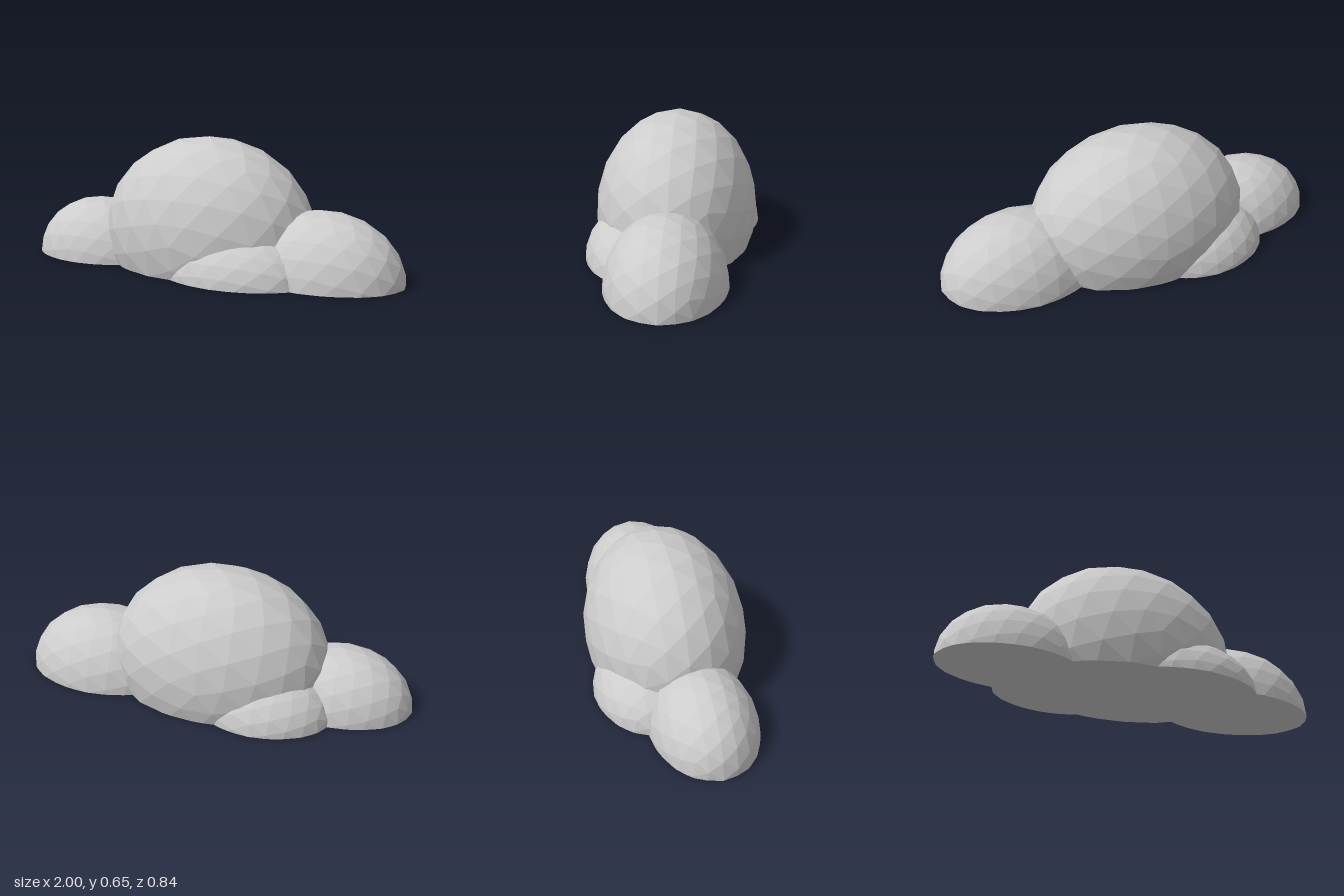
import * as THREE from 'three';

// Faceted ellipsoid cut flat at y = 0, with the cut closed by a fan
function puffGeometry([cx, cy, cz], [rx, ry, rz]) {
  const ball = new THREE.IcosahedronGeometry(1, 3);
  ball.rotateX(Math.atan(2 / (1 + Math.sqrt(5)))); // put a corner at the top
  ball.scale(rx, ry, rz).translate(cx, cy, cz);
  const pos = ball.attributes.position;
  const centre = new THREE.Vector3(cx, 0, cz);
  const out = [];
  const addTriangle = (...corners) => corners.forEach((p) => out.push(p.x, p.y, p.z));

  for (let i = 0; i < pos.count; i += 3) {
    const tri = [0, 1, 2].map((k) => new THREE.Vector3().fromBufferAttribute(pos, i + k));
    tri.forEach((p) => { if (Math.abs(p.y) < 1e-5) p.y = 0; });
    if (tri.every((p) => p.y <= 0)) continue;

    // Keep the part of the triangle above the ground
    const poly = [];
    tri.forEach((a, k) => {
      const b = tri[(k + 1) % 3];
      if (a.y >= 0) poly.push(a);
      if (a.y * b.y < 0) {
        const p = a.clone().lerp(b, a.y / (a.y - b.y));
        p.y = 0;
        poly.push(p);
      }
    });
    for (let k = 1; k < poly.length - 1; k++) addTriangle(poly[0], poly[k], poly[k + 1]);

    // Close the underside below each edge on the ground
    poly.forEach((a, k) => {
      const b = poly[(k + 1) % poly.length];
      if (a.y === 0 && b.y === 0) addTriangle(b, a, centre);
    });
  }
  const geometry = new THREE.BufferGeometry();
  geometry.setAttribute('position', new THREE.Float32BufferAttribute(out, 3));
  geometry.computeVertexNormals();
  return geometry;
}

export function createModel() {
  const group = new THREE.Group();
  group.name = 'cloud';
  const grey = new THREE.MeshStandardMaterial({ color: 0xcccccc, flatShading: true });
  grey.name = 'cloud grey';

  // Name, centre and radii of each puff
  const puffs = [
    ['mainPuff', [-0.03, 0.17, -0.01], [0.56, 0.48, 0.4]],
    ['leftPuff', [0.59, 0, -0.01], [0.41, 0.335, 0.292]],
    ['rightPuff', [-0.64, 0, 0.04], [0.36, 0.297, 0.26]],
    ['frontPuff', [0.2, 0, 0.15], [0.4, 0.245, 0.268]],
    ['backPuff', [-0.3, 0, -0.15], [0.35, 0.245, 0.27]],
  ];
  for (const [name, centre, radii] of puffs) {
    const mesh = new THREE.Mesh(puffGeometry(centre, radii), grey);
    mesh.name = name;
    group.add(mesh);
  }
  return group;
}
